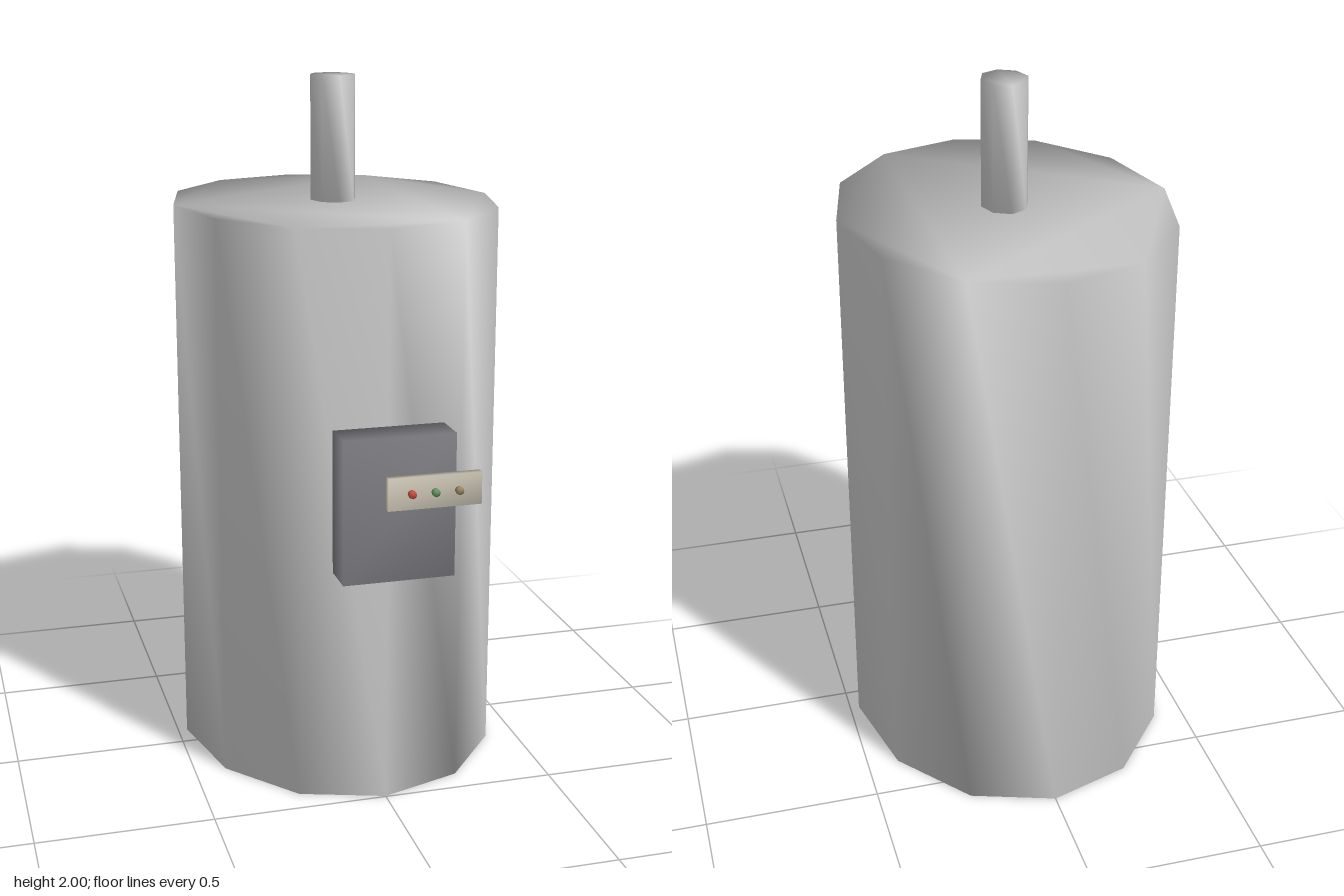
import * as THREE from 'three';
import { mergeVertices } from 'three/addons/utils/BufferGeometryUtils.js';

// Share corners so shading runs smoothly over the edges
function soften(geometry) {
  geometry.deleteAttribute('uv');
  geometry.deleteAttribute('normal');
  const welded = mergeVertices(geometry, 1e-4);
  welded.computeVertexNormals();
  return welded;
}

// Upright elliptical prism with its base on y = 0
function ellipticPrism(sides, rx, rz, height) {
  const points = [];
  for (let i = 0; i < sides; i++) {
    const a = (i / sides) * Math.PI * 2;
    points.push(new THREE.Vector2(Math.cos(a) * rx, Math.sin(a) * rz));
  }
  const geometry = new THREE.ExtrudeGeometry(new THREE.Shape(points), { depth: height, bevelEnabled: false });
  geometry.rotateX(-Math.PI / 2);
  return soften(geometry);
}

export function createModel() {
  const group = new THREE.Group();

  function add(name, geometry, color, x, y, z) {
    const mesh = new THREE.Mesh(geometry, new THREE.MeshStandardMaterial({ color }));
    mesh.name = name;
    mesh.position.set(x, y, z);
    group.add(mesh);
  }

  // Tank and outlet pipe
  add('tank', ellipticPrism(12, 0.473, 0.577, 1.64), 0xcccccc, 0, 0, -0.08);
  add('outletPipe', ellipticPrism(8, 0.067, 0.08, 0.36), 0xcccccc, 0, 1.64, -0.08);

  // Control box and the strip in front of it
  add('controlBox', soften(new THREE.BoxGeometry(0.314, 0.404, 0.108)), 0x808086, -0.001, 0.903, 0.556);
  add('controlStrip', soften(new THREE.BoxGeometry(0.262, 0.09, 0.022)), 0xccc5b5, 0.089, 0.955, 0.627);

  // Indicator buttons
  [0xcc5044, 0x6a9a6a, 0x9a8a6a].forEach((color, i) => {
    const button = new THREE.CylinderGeometry(0.011, 0.011, 0.015, 8);
    button.rotateX(Math.PI / 2);
    add('button' + (i + 1), soften(button), color, 0.022 + i * 0.066, 0.955, 0.645);
  });

  return group;
}
